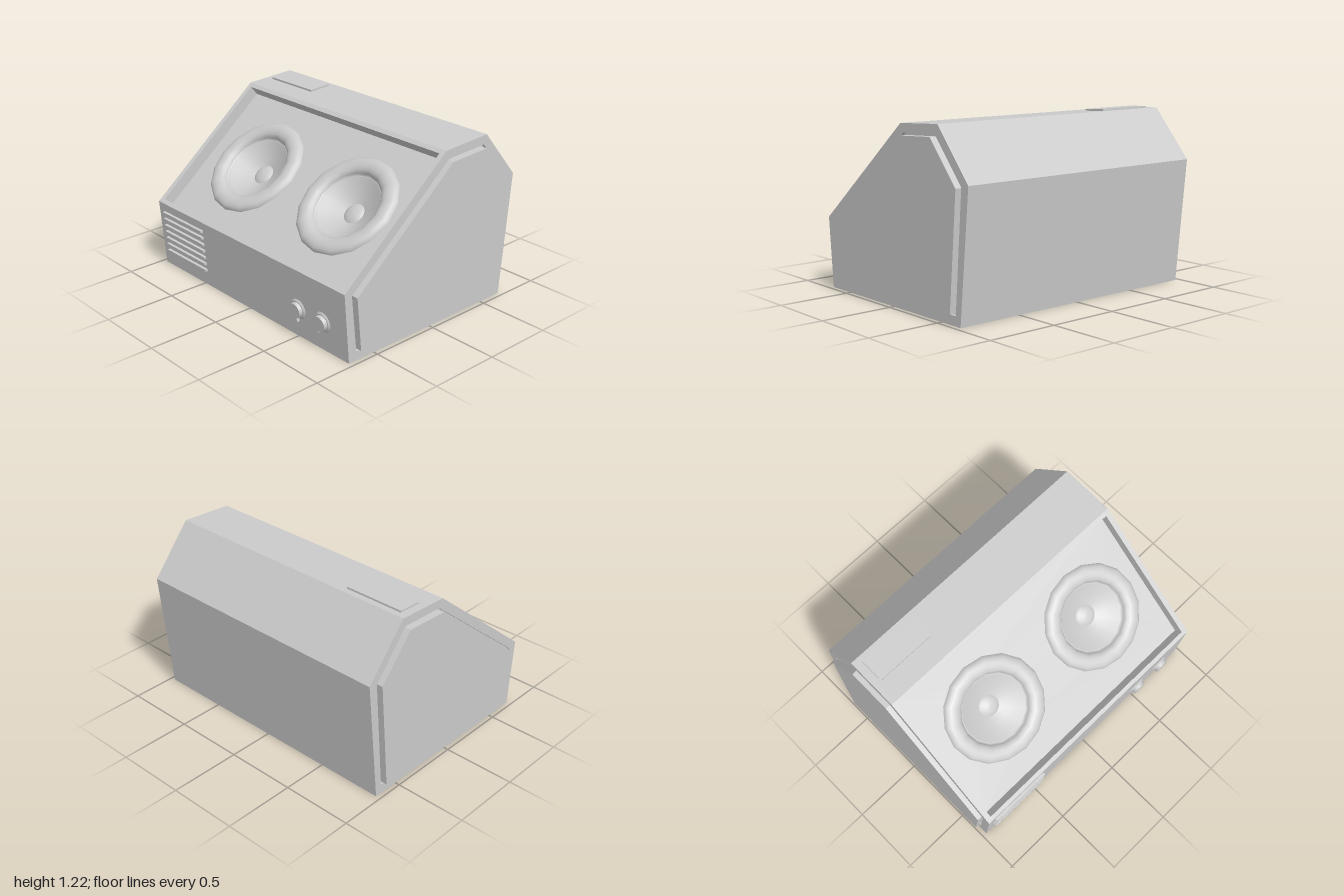
import * as THREE from 'three';

const material = new THREE.MeshStandardMaterial({ color: 0xcccccc, side: THREE.DoubleSide });

// Side outlines as [z, y] pairs
const OUTLINE = [[0.71, 0], [0.75, 0.485], [-0.1, 1.185], [-0.475, 1.205], [-0.765, 0.865], [-0.685, 0]];
const GROOVE = [[0.65, 0.065], [0.69, 0.457], [-0.13, 1.128], [-0.45, 1.142], [-0.7, 0.85], [-0.64, 0.065]];
const PANEL = [[0.64, 0.077], [0.675, 0.45], [-0.13, 1.112], [-0.442, 1.127], [-0.687, 0.843], [-0.625, 0.077]];

// Sloped front: a point s along the slope, d below its surface
const SLOPE = Math.atan2(0.85, 0.7);
const onSlope = (s, d) => [
  0.75 - s * Math.sin(SLOPE) - d * Math.cos(SLOPE),
  0.485 + s * Math.cos(SLOPE) - d * Math.sin(SLOPE),
];
const S0 = 0.031, S1 = 1.069, DECK_DEPTH = 0.082, INNER = 0.93, OUTER = 0.967;

function add(parent, name, geometry) {
  const mesh = new THREE.Mesh(geometry, material);
  mesh.name = name;
  parent.add(mesh);
  return mesh;
}

const toPoints = (pairs) => pairs.map(([z, y]) => new THREE.Vector2(-z, y));

// Extrude a side outline between two x positions
function slab(outline, x0, x1, hole) {
  const shape = new THREE.Shape(toPoints(outline));
  if (hole) shape.holes.push(new THREE.Path(toPoints(hole)));
  const geo = new THREE.ExtrudeGeometry(shape, { depth: x1 - x0, bevelEnabled: false });
  return geo.translate(0, 0, x0).rotateY(Math.PI / 2);
}

function lathe(points) {
  const profile = points.map(([r, h]) => new THREE.Vector2(r, h));
  return new THREE.LatheGeometry(profile, 16).rotateX(Math.PI / 2);
}

function createSpeaker(x) {
  const speaker = new THREE.Group();
  speaker.name = 'speaker';
  speaker.position.x = x;
  // Rounded surround
  const ring = [];
  for (let i = 0; i <= 8; i++) {
    const a = (i / 8) * Math.PI;
    ring.push([0.31 + 0.0625 * Math.cos(a), 0.04 * Math.sin(a)]);
  }
  add(speaker, 'surround', lathe(ring));
  add(speaker, 'coneRim', lathe([[0.248, 0], [0.242, -0.012], [0.235, -0.012]]));
  add(speaker, 'cone', lathe([[0.235, -0.012], [0.18, -0.045], [0.125, -0.073], [0.075, -0.095]]));
  add(speaker, 'dustCap', lathe([[0.075, -0.095], [0.06, -0.085], [0.035, -0.077], [0, -0.074]]));
  return speaker;
}

function createKnob(x, y, turn) {
  const knob = new THREE.Group();
  knob.name = 'knob';
  knob.position.set(x, y, 0);
  knob.rotation.z = turn;
  add(knob, 'knobBase', new THREE.CylinderGeometry(0.06, 0.072, 0.01, 24).rotateX(Math.PI / 2)).position.z = 0.004;
  add(knob, 'knobCap', new THREE.CylinderGeometry(0.05, 0.054, 0.034, 24).rotateX(Math.PI / 2)).position.z = 0.017;
  add(knob, 'knobPointer', new THREE.BoxGeometry(0.012, 0.05, 0.022)).position.set(0, -0.053, 0.02);
  return knob;
}

export function createModel() {
  const model = new THREE.Group();
  model.name = 'speakerCabinet';

  // Cabinet middle, cut away behind the speaker deck
  const notched = [
    OUTLINE[0], OUTLINE[1],
    onSlope(S0, 0), onSlope(S0, 0.22), onSlope(S1, 0.22), onSlope(S1, 0),
    ...OUTLINE.slice(2),
  ];
  add(model, 'cabinet', slab(notched, -INNER, INNER));

  // Cabinet ends with a grooved frame around a raised panel
  for (const side of [1, -1]) {
    const span = (a, b) => (side > 0 ? [a, b] : [-b, -a]);
    add(model, 'cabinetEnd', slab(OUTLINE, ...span(INNER, 0.945)));
    add(model, 'endFrame', slab(OUTLINE, ...span(0.945, OUTER), GROOVE));
    add(model, 'sidePanel', slab(PANEL, ...span(0.945, 1)));
  }

  // Sunken sloping deck with two speakers
  const deck = new THREE.Group();
  deck.name = 'speakerDeck';
  const [deckZ, deckY] = onSlope((S0 + S1) / 2, DECK_DEPTH);
  deck.position.set(0, deckY, deckZ);
  deck.rotation.x = -SLOPE;
  model.add(deck);
  const h = (S1 - S0) / 2;
  const board = new THREE.Shape([[-INNER, -h], [INNER, -h], [INNER, h], [-INNER, h]].map((p) => new THREE.Vector2(...p)));
  for (const x of [-0.444, 0.476]) {
    board.holes.push(new THREE.Path().absarc(x, 0, 0.26, 0, Math.PI * 2, true));
    deck.add(createSpeaker(x));
  }
  add(deck, 'deckBoard', new THREE.ExtrudeGeometry(board, { depth: 0.02, bevelEnabled: false, curveSegments: 16 }).translate(0, 0, -0.02));

  // Lower front face: slats and knobs
  const front = new THREE.Group();
  front.name = 'controlFront';
  front.position.z = 0.71;
  front.rotation.x = Math.atan2(0.04, 0.485);
  model.add(front);
  for (let i = 0; i < 7; i++) {
    add(front, 'slat', new THREE.BoxGeometry(0.45, 0.016, 0.03)).position.set(-0.68, 0.12 + i * 0.05, 0.005);
  }
  front.add(createKnob(0.514, 0.205, 0.15), createKnob(0.745, 0.205, -0.3));

  // Flat plate on top
  const plate = add(model, 'topPlate', new THREE.BoxGeometry(0.43, 0.024, 0.17));
  plate.position.set(-0.695, 1.199, -0.345);
  plate.rotation.x = Math.atan2(0.02, 0.375);

  return model;
}
